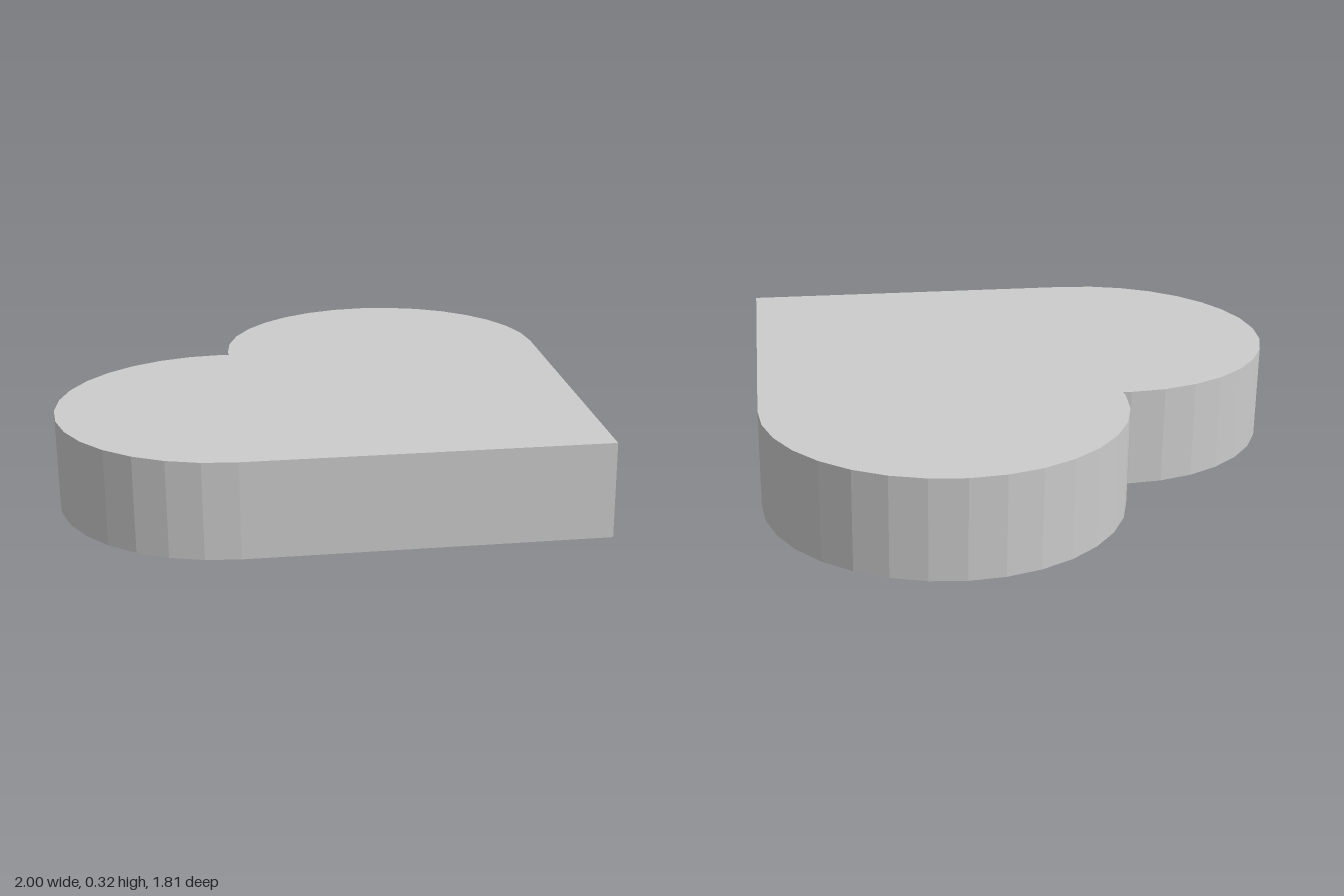
import * as THREE from 'three';

const HEIGHT = 0.317;
const LOBE_RADIUS = 0.575;
const LOBE_X = 0.425;
const LOBE_Y = 0.33;
const STEP = Math.PI / 16; // lobes are cut from 32-sided circles

// Heart outline: tip, right lobe, notch, mirrored left lobe
function heartShape() {
  const right = [];
  for (let i = -4; i <= 12; i++) {
    right.push(new THREE.Vector2(
      LOBE_X + LOBE_RADIUS * Math.cos(i * STEP),
      LOBE_Y + LOBE_RADIUS * Math.sin(i * STEP)
    ));
  }
  const left = right.map((p) => new THREE.Vector2(-p.x, p.y)).reverse();
  const tip = new THREE.Vector2(0, -0.905);
  const notch = new THREE.Vector2(0, 0.715);
  return new THREE.Shape([tip, ...right, notch, ...left]);
}

export function createModel() {
  const model = new THREE.Group();
  model.name = 'heart';

  // Flat slab lying on the ground, tip towards the front
  const geometry = new THREE.ExtrudeGeometry(heartShape(), { depth: HEIGHT, bevelEnabled: false });
  geometry.rotateX(-Math.PI / 2);
  const material = new THREE.MeshStandardMaterial({ color: 0xcccccc, flatShading: true });
  const slab = new THREE.Mesh(geometry, material);
  slab.name = 'heartSlab';
  model.add(slab);

  return model;
}
